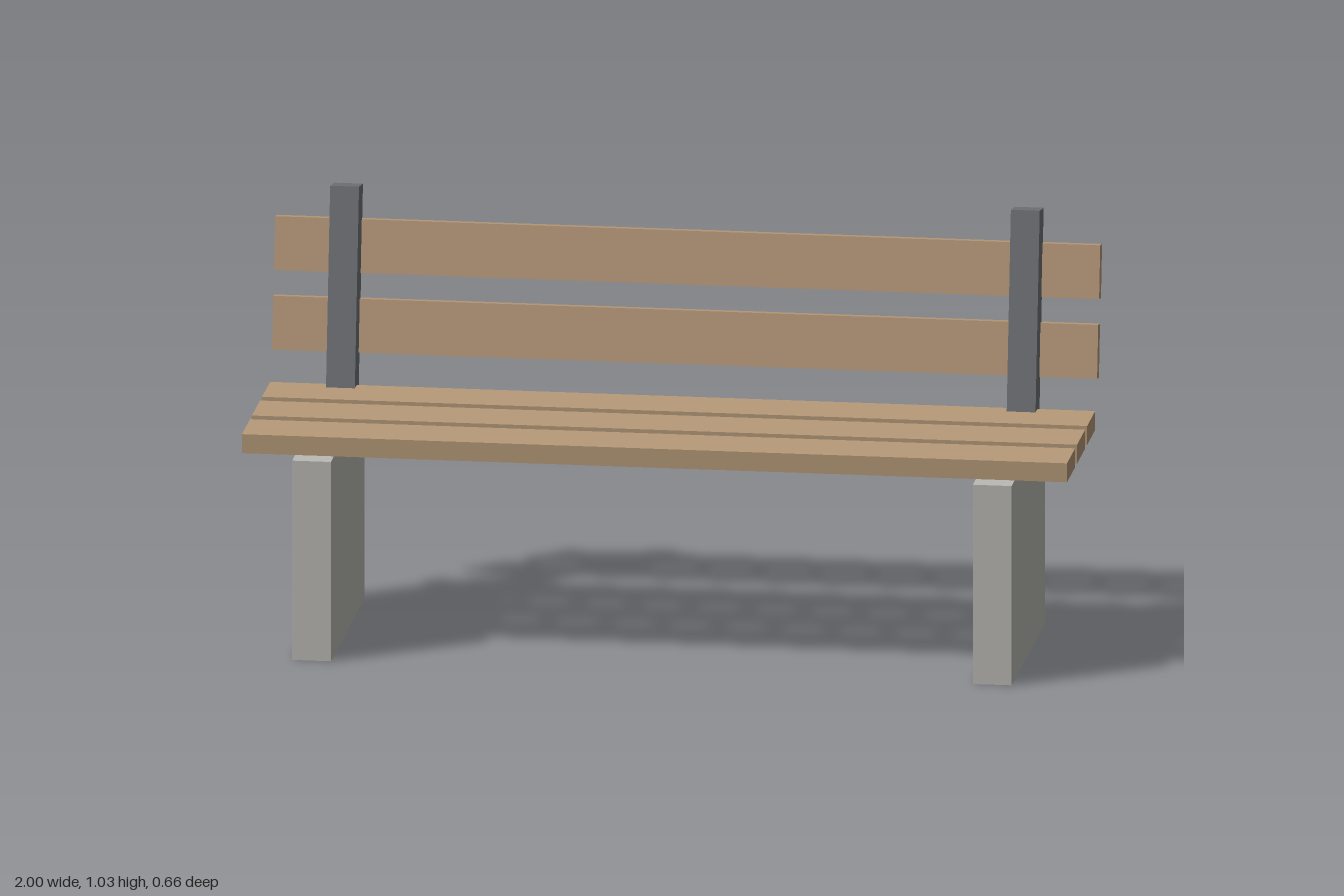
import * as THREE from 'three';

export function createModel() {
  const bench = new THREE.Group();
  bench.name = 'bench';

  const material = (name, color) => {
    const m = new THREE.MeshStandardMaterial({ color });
    m.name = name;
    return m;
  };
  const wood = material('wood', 0xb89a7a);
  const concrete = material('concrete', 0xbbbab5);
  const steel = material('steel', 0x6f7276);

  const addBox = (name, mat, size, position, tilt = 0) => {
    const mesh = new THREE.Mesh(new THREE.BoxGeometry(...size), mat);
    mesh.name = name;
    mesh.position.set(...position);
    mesh.rotation.x = tilt;
    bench.add(mesh);
  };

  const lean = -0.15; // backrest leans towards -z

  // Concrete slab legs and leaning posts, mirrored left and right
  for (const [side, s] of [['left', 1], ['right', -1]]) {
    addBox(side + 'Leg', concrete, [0.094, 0.495, 0.588], [s * 0.825, 0.2475, 0.037]);
    addBox(side + 'BackPost', steel, [0.07, 0.55, 0.07], [s * 0.825, 0.7485, -0.2435], lean);
  }

  // Seat slats
  [0.214, 0.0375, -0.139].forEach((z, i) =>
    addBox('seatSlat' + (i + 1), wood, [2, 0.047, 0.142], [0, 0.5205, z]));

  // Backrest slats, set against the rear of the posts
  [[0.677, -0.2697], [0.8655, -0.305]].forEach(([y, z], i) =>
    addBox('backSlat' + (i + 1), wood, [2, 0.13, 0.033], [0, y, z], lean));

  return bench;
}
